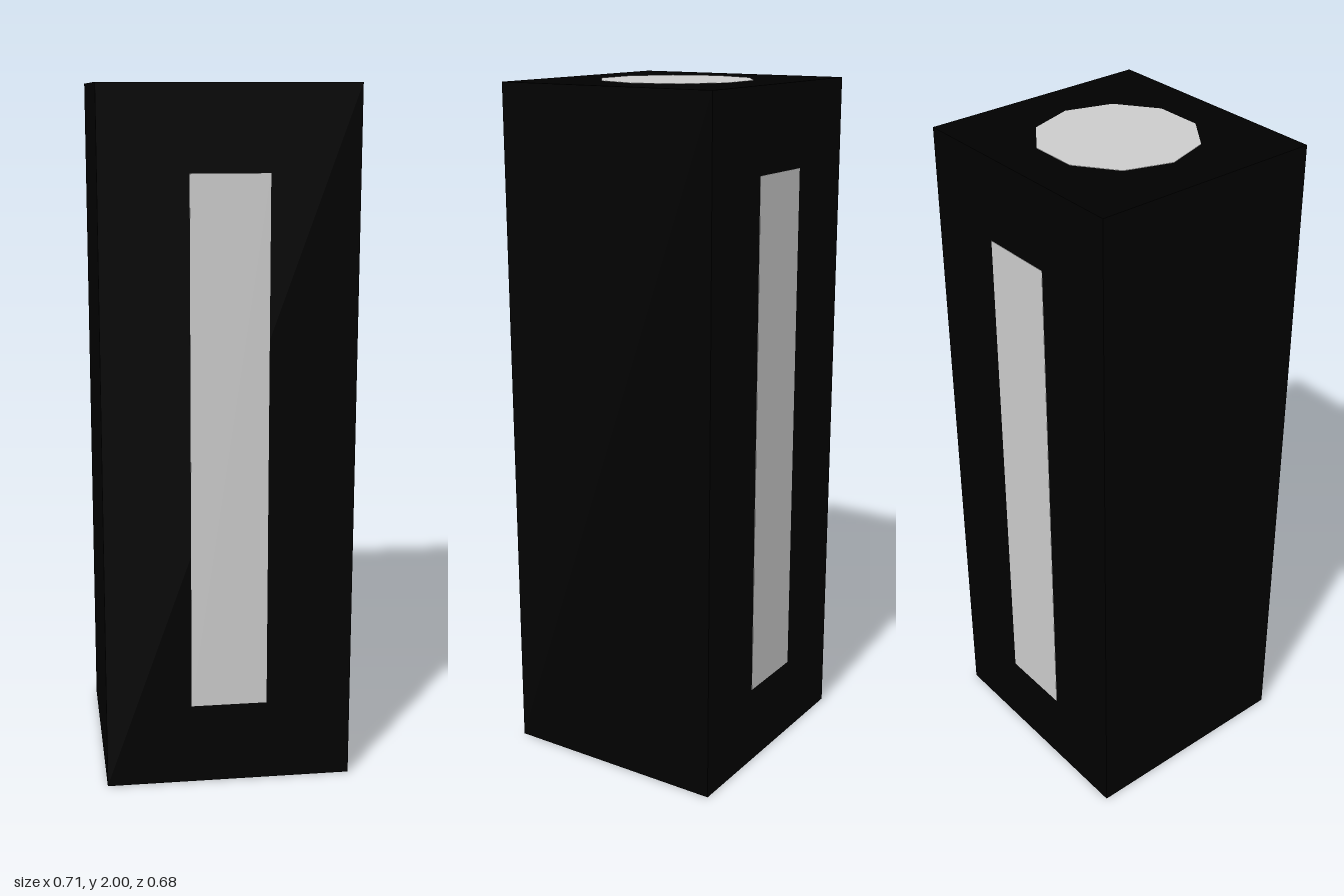
import * as THREE from 'three';

const WIDTH = 0.714, HEIGHT = 2, DEPTH = 0.68;
const REVEAL = 0.001; // inlays stand this far proud of the casing

export function createModel() {
  const group = new THREE.Group();
  const black = new THREE.MeshStandardMaterial({ color: 0x000000, flatShading: true });
  const grey = new THREE.MeshStandardMaterial({ color: 0xcccccc, flatShading: true });

  const add = (name, geometry, material) => {
    const mesh = new THREE.Mesh(geometry, material);
    mesh.name = name;
    mesh.position.y = HEIGHT / 2;
    group.add(mesh);
  };

  // Tall black block
  add('casing', new THREE.BoxGeometry(WIDTH, HEIGHT - 2 * REVEAL, DEPTH - 2 * REVEAL), black);

  // Ten-sided core, showing as a disc on the top and bottom
  add('core', new THREE.CylinderGeometry(0.223, 0.223, HEIGHT, 10).rotateY(Math.PI / 2), grey);

  // Upright slab through the block, showing as a strip on the front and back
  add('strip', new THREE.BoxGeometry(0.22, 1.524, DEPTH), grey);

  return group;
}
